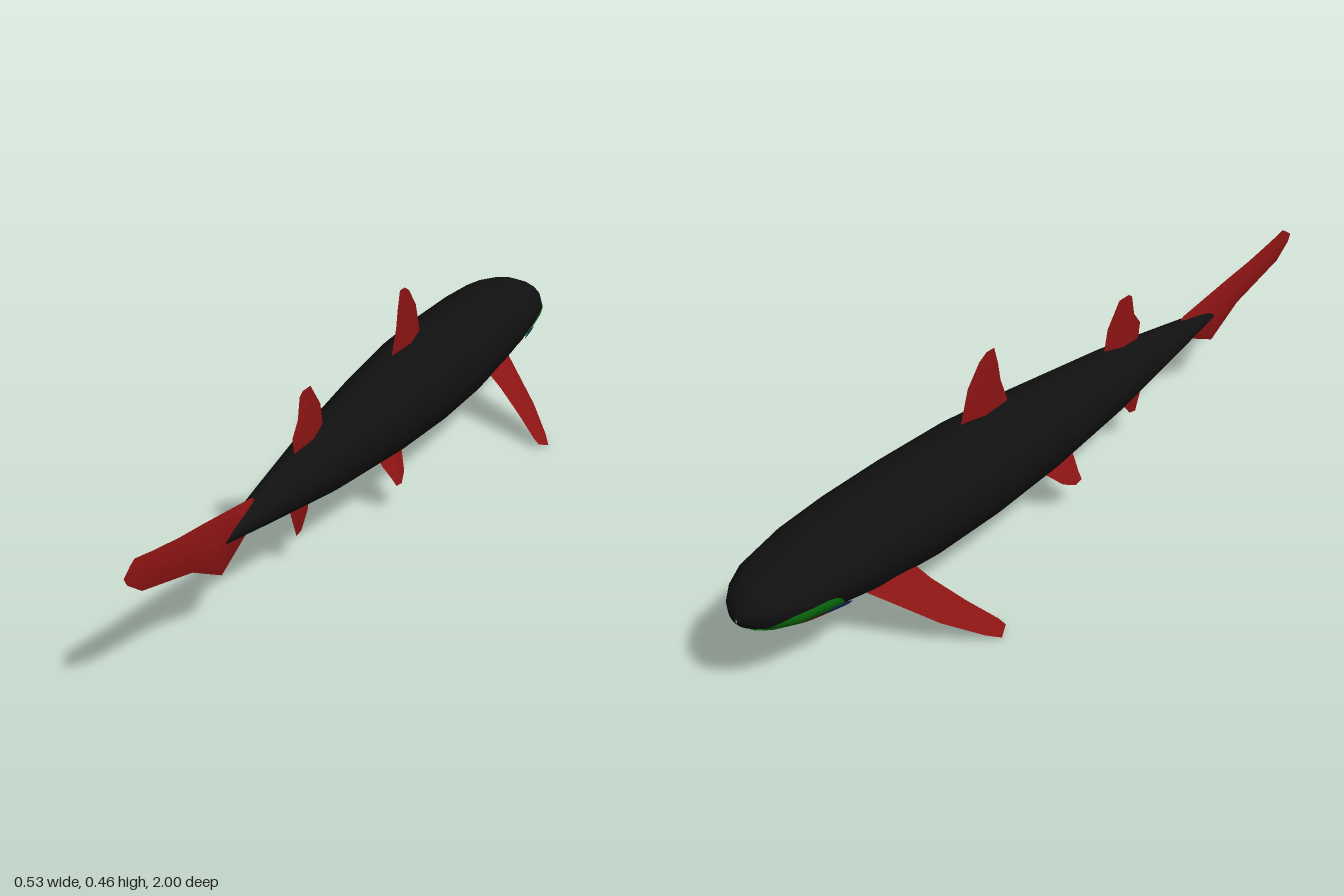
import * as THREE from 'three';
import { toCreasedNormals } from 'three/addons/utils/BufferGeometryUtils.js';

const mat = (name, color, side = THREE.FrontSide) => {
  const m = new THREE.MeshStandardMaterial({ color, side });
  m.name = name;
  return m;
};

// Joins closed rings of points into a skin
function loft(rings) {
  const n = rings[0].length, index = [];
  for (let i = 0; i < rings.length - 1; i++) {
    for (let j = 0; j < n; j++) {
      const k = (j + 1) % n;
      const a = i * n + j, b = i * n + k, c = b + n, d = a + n;
      index.push(a, b, c, a, c, d);
    }
  }
  const g = new THREE.BufferGeometry();
  g.setAttribute('position', new THREE.Float32BufferAttribute(rings.flat(2), 3));
  g.setIndex(index);
  g.computeVertexNormals();
  return g;
}

// Body profile from nose to tail: z, half width, top y, bottom y
const PROFILE = [
  [-1, 0.002, 0.205, 0.195], [-0.992, 0.03, 0.228, 0.183], [-0.975, 0.053, 0.245, 0.173],
  [-0.95, 0.073, 0.26, 0.164], [-0.9, 0.095, 0.28, 0.151], [-0.8, 0.108, 0.304, 0.133],
  [-0.67, 0.114, 0.318, 0.107], [-0.5, 0.116, 0.325, 0.09], [-0.3, 0.112, 0.325, 0.088],
  [-0.08, 0.098, 0.31, 0.098], [0.2, 0.069, 0.283, 0.123], [0.45, 0.037, 0.246, 0.162],
  [0.62, 0.014, 0.22, 0.19], [0.69, 0.002, 0.208, 0.2],
];

// Point on the body: z, angle from the belly towards +x, distance above the skin
function skin(z, t, lift = 0) {
  let i = 0;
  while (i < PROFILE.length - 2 && PROFILE[i + 1][0] < z) i++;
  const p = PROFILE[i], q = PROFILE[i + 1];
  const f = (z - p[0]) / (q[0] - p[0]);
  const [w, top, bottom] = [1, 2, 3].map((k) => p[k] + (q[k] - p[k]) * f);
  const h = (top - bottom) / 2;
  return [(w + lift) * Math.sin(t), (top + bottom) / 2 - (h + lift) * Math.cos(t), z];
}

// Rounded patch lying on the skin
function patch(z0, dz, t0, dt, lift, power = 0.6) {
  const rings = [], n = 40;
  const round = (v) => Math.sign(v) * Math.abs(v) ** power;
  for (let i = 0; i <= 12; i++) {
    const r = i / 12;
    rings.push(Array.from({ length: n }, (_, j) => {
      const a = (-j / n) * Math.PI * 2;
      return skin(z0 + dz * r * round(Math.sin(a)), t0 + dt * r * round(Math.cos(a)), lift);
    }));
  }
  return loft(rings);
}

// Fin with diamond sections; stations: lead a, lead b, trail a, trail b, half thickness
function fin(stations, place) {
  const rings = stations.map(([la, lb, ta, tb, s]) => {
    const ma = la + (ta - la) * 0.45, mb = lb + (tb - lb) * 0.45;
    return [place(la, lb, 0), place(ma, mb, -s), place(ta, tb, 0), place(ma, mb, s)];
  });
  return toCreasedNormals(loft(rings), 0.6);
}

const upright = (z, y, s) => [s, y, z];
const hanging = (z, y, s) => [-s, y, z];
// Sloping plane for paired fins, falling from (x0, y0)
const sloping = (x0, y0, slope) => (z, x, s) => {
  const l = Math.hypot(1, slope);
  return [x - (s * slope) / l, y0 - (x - x0) * slope - s / l, z];
};

export function createModel() {
  const black = mat('bodyBlack', 0x111111);
  const red = mat('finRed', 0x8a1313, THREE.DoubleSide);
  const maroon = mat('mouthMaroon', 0x4a0c0c, THREE.DoubleSide);
  const green = mat('snoutGreen', 0x0c7a10, THREE.DoubleSide);
  const blue = mat('mouthCornerBlue', 0x16308c, THREE.DoubleSide);

  const model = new THREE.Group();
  const add = (name, geometry, material, mirrored = false) => {
    const mesh = new THREE.Mesh(geometry, material);
    mesh.name = name;
    if (mirrored) mesh.scale.x = -1;
    model.add(mesh);
  };
  const addPair = (name, geometry, material) => {
    add(name + 'Left', geometry, material);
    add(name + 'Right', geometry, material, true);
  };

  // Body: sixteen-sided sections
  add('body', loft(PROFILE.map(([z]) =>
    Array.from({ length: 16 }, (_, j) => skin(z, (j / 16) * Math.PI * 2)))), black);

  // Snout underside and mouth
  add('snoutUnderside', patch(-0.885, 0.093, 0, 1.5, 0.003), green);
  add('mouth', patch(-0.82, 0.085, 0, 0.8, 0.006, 0.8), maroon);
  addPair('mouthCorner', patch(-0.815, 0.035, 1.0, 0.12, 0.006, 1), blue);

  // Fins on the centre line
  add('dorsalFin', fin([
    [-0.335, 0.28, -0.16, 0.28, 0.012], [-0.325, 0.325, -0.17, 0.325, 0.01],
    [-0.30, 0.40, -0.19, 0.375, 0.007], [-0.26, 0.448, -0.198, 0.42, 0.004],
    [-0.235, 0.462, -0.21, 0.462, 0],
  ], upright), red);
  add('rearDorsalFin', fin([
    [0.18, 0.24, 0.31, 0.24, 0.011], [0.188, 0.283, 0.325, 0.272, 0.009],
    [0.20, 0.336, 0.33, 0.304, 0.007], [0.245, 0.393, 0.305, 0.336, 0.004],
    [0.28, 0.394, 0.295, 0.386, 0],
  ], upright), red);
  add('analFin', fin([
    [0.25, 0.18, 0.35, 0.18, 0.01], [0.257, 0.145, 0.35, 0.147, 0.008],
    [0.263, 0.112, 0.335, 0.11, 0.005], [0.295, 0.074, 0.318, 0.07, 0],
  ], hanging), red);
  add('tailFin', fin([
    [0.46, 0.215, 0.46, 0.2, 0.006], [0.515, 0.245, 0.525, 0.18, 0.011],
    [0.71, 0.272, 0.643, 0.128, 0.013], [0.80, 0.283, 0.756, 0.187, 0.011],
    [0.90, 0.30, 0.94, 0.235, 0.007], [0.96, 0.312, 0.99, 0.27, 0.003],
    [0.975, 0.305, 1.0, 0.288, 0],
  ], upright), red);

  // Paired fins
  addPair('pectoralFin', fin([
    [-0.72, 0.07, -0.58, 0.07, 0.013], [-0.685, 0.11, -0.565, 0.115, 0.011],
    [-0.62, 0.185, -0.53, 0.18, 0.008], [-0.55, 0.245, -0.495, 0.235, 0.004],
    [-0.52, 0.264, -0.49, 0.25, 0],
  ], sloping(0.09, 0.13, 0.74)), red);
  addPair('pelvicFin', fin([
    [-0.13, 0.03, 0.0, 0.03, 0.008], [-0.105, 0.055, 0.0, 0.055, 0.006],
    [-0.07, 0.078, -0.008, 0.075, 0.004], [-0.035, 0.088, -0.01, 0.086, 0],
  ], sloping(0.045, 0.13, 1.5)), red);

  return model;
}
